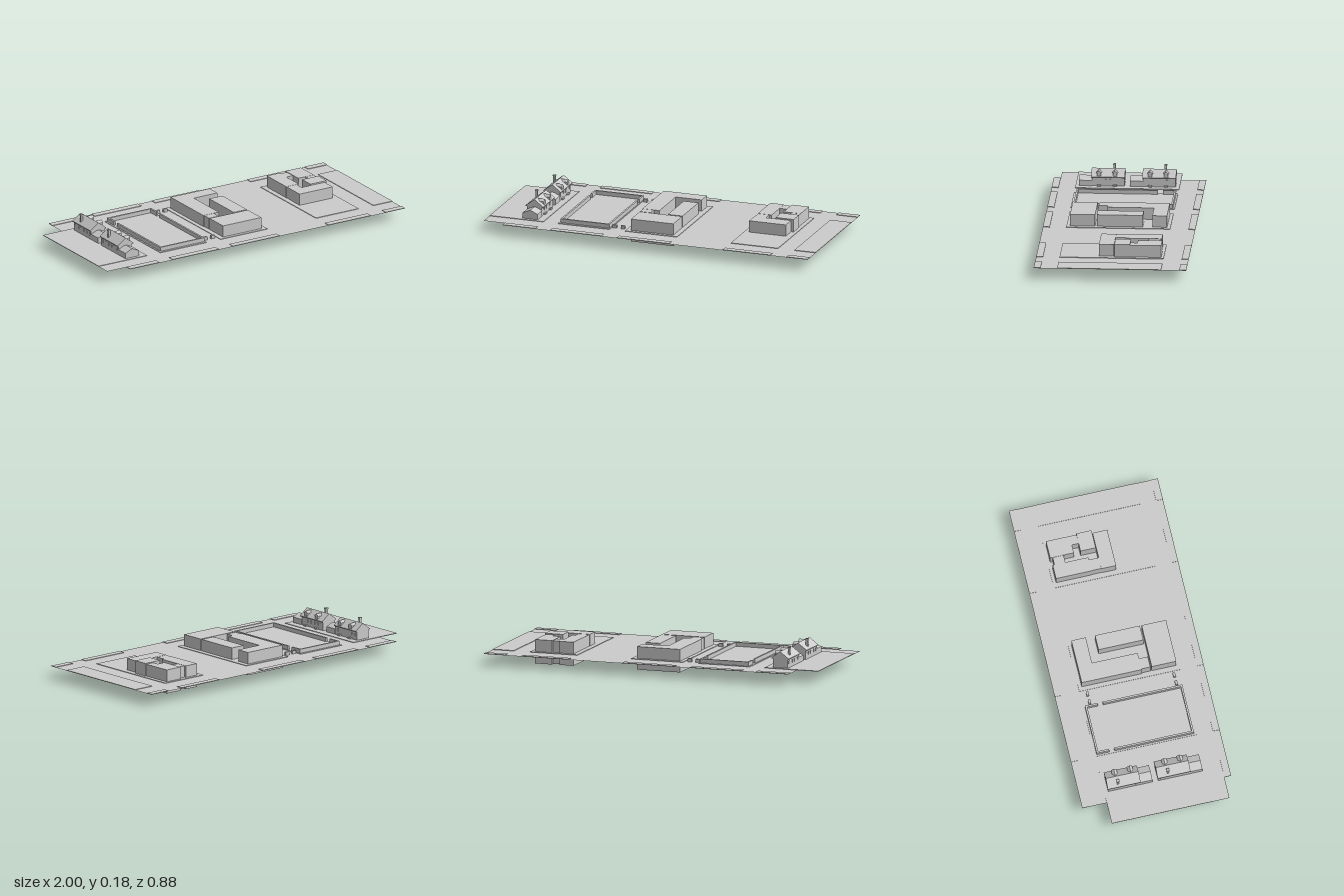
import * as THREE from 'three';

const GROUND = 0.066;
const PLOT = 0.0695;

export function createModel() {
  const model = new THREE.Group();
  const material = new THREE.MeshStandardMaterial({ color: 0xcccccc, flatShading: true });
  const sheet = new THREE.MeshStandardMaterial({ color: 0xcccccc, side: THREE.DoubleSide });

  const add = (parent, name, geometry, mat = material) => {
    const mesh = new THREE.Mesh(geometry, mat);
    mesh.name = name;
    parent.add(mesh);
    return mesh;
  };
  // Box given by its limits on each axis
  const block = (parent, name, x0, x1, y0, y1, z0, z1) =>
    add(parent, name, new THREE.BoxGeometry(x1 - x0, y1 - y0, z1 - z0))
      .position.set((x0 + x1) / 2, (y0 + y1) / 2, (z0 + z1) / 2);
  // Outline of [x, y] points extruded from z0 to z1
  const prism = (points, z0, z1) =>
    new THREE.ExtrudeGeometry(new THREE.Shape(points.map(([x, y]) => new THREE.Vector2(x, y))),
      { depth: z1 - z0, bevelEnabled: false }).translate(0, 0, z0);

  // Thin ground sheet with stepped end
  const outline = [[-0.87, -0.44], [1, -0.44], [1, 0.44], [-0.87, 0.44],
    [-0.87, 0.4], [-1, 0.4], [-1, -0.295], [-0.87, -0.295]];
  const ground = new THREE.Shape(outline.map(([x, z]) => new THREE.Vector2(x, -z)));
  add(model, 'ground', new THREE.ShapeGeometry(ground).rotateX(-Math.PI / 2), sheet).position.y = GROUND;

  // City blocks and the sidewalks across the streets
  for (const [x0, x1] of [[-1, -0.67], [-0.58, -0.265], [-0.17, 0.15], [0.48, 0.77], [0.87, 1]]) {
    block(model, 'plot', x0, x1, GROUND + 0.0005, PLOT, -0.295, 0.305);
    const start = Math.max(x0, -0.87);
    block(model, 'sidewalk', start, x1, GROUND + 0.0005, PLOT, -0.44, -0.4);
    block(model, 'sidewalk', start, x1, GROUND + 0.0005, PLOT, 0.4, 0.44);
  }

  // Low wall round the field, with openings near the back
  const field = new THREE.Group();
  field.name = 'fieldWall';
  model.add(field);
  const t = 0.011;
  for (const [x0, x1, z0, z1] of [
    [-0.57, -0.27, -0.285, -0.285 + t], [-0.57, -0.27, 0.29 - t, 0.29],
    [-0.57, -0.57 + t, -0.285, -0.21], [-0.27 - t, -0.27, -0.285, -0.21],
    [-0.57, -0.57 + t, -0.18, 0.29], [-0.27 - t, -0.27, -0.18, 0.29]]) {
    block(field, 'wallSection', x0, x1, GROUND, 0.093, z0, z1);
  }

  // Small kiosks beside the field
  for (const x of [-0.247, -0.197])
    for (const z of [-0.253, 0.26])
      block(model, 'kiosk', x - 0.012, x + 0.012, 0.06, 0.085, z - 0.007, z + 0.007);

  // Central complex: L-shaped wing, long hall and front hall
  const central = new THREE.Group();
  central.name = 'centralComplex';
  model.add(central);
  const wing = [[-0.145, -0.275], [0.12, -0.275], [0.12, -0.19], [-0.04, -0.19], [-0.04, 0.08], [-0.145, 0.08]];
  const wingShape = new THREE.Shape(wing.map(([x, z]) => new THREE.Vector2(x, -z)));
  add(central, 'wing', new THREE.ExtrudeGeometry(wingShape, { depth: 0.135, bevelEnabled: false })
    .rotateX(-Math.PI / 2)).position.y = 0.003;
  block(central, 'longHall', 0.03, 0.12, 0.003, 0.138, -0.135, 0.13);
  block(central, 'frontHall', -0.14, 0.12, 0.003, 0.138, 0.14, 0.285);
  block(central, 'link', -0.14, -0.075, 0.004, 0.137, 0.079, 0.132);

  // Courtyard complex: four halls joined in a ring
  const court = new THREE.Group();
  court.name = 'courtyardComplex';
  model.add(court);
  for (const [name, x0, x1, y1, z0, z1] of [
    ['hall', 0.51, 0.595, 0.138, -0.275, -0.065], ['hall', 0.64, 0.745, 0.14, -0.28, -0.14],
    ['hall', 0.64, 0.75, 0.145, -0.10, -0.01], ['hall', 0.51, 0.735, 0.138, -0.007, 0.08],
    ['link', 0.594, 0.641, 0.137, -0.265, -0.2], ['link', 0.512, 0.58, 0.137, -0.066, -0.006],
    ['link', 0.69, 0.745, 0.139, -0.141, -0.099]])
    block(court, name, x0, x1, name === 'link' ? 0.002 : 0, y1, z0, z1);

  // Two rows of gabled houses, each with dormers, chimney and annex
  for (const z of [-0.275, 0.02]) {
    const house = new THREE.Group();
    house.name = 'houseRow';
    house.position.z = z;
    model.add(house);
    block(house, 'walls', -0.805, -0.715, GROUND, 0.124, 0.003, 0.19);
    add(house, 'roof', prism([[-0.812, 0.12], [-0.705, 0.12], [-0.705, 0.125],
      [-0.758, 0.165], [-0.812, 0.125]], 0, 0.194));
    block(house, 'chimney', -0.798, -0.785, 0.12, 0.175, 0.058, 0.07);
    block(house, 'chimneyCap', -0.8, -0.783, 0.175, 0.182, 0.056, 0.072);
    for (const dz of [0.058, 0.15]) {
      const dormer = prism([[-0.012, 0.12], [0.012, 0.12], [0.012, 0.148], [0.016, 0.148],
        [0, 0.161], [-0.016, 0.148], [-0.012, 0.148]], 0, 0.045).rotateY(Math.PI / 2);
      add(house, 'dormer', dormer).position.set(-0.755, 0, dz);
      block(house, 'doorStep', -0.716, -0.703, GROUND, 0.078, dz - 0.012, dz + 0.012);
    }
    // Windows set slightly proud of both long walls
    for (let i = 0; i < 6; i++) {
      const wz = 0.022 + i * 0.03;
      block(house, 'window', -0.716, -0.713, 0.092, 0.11, wz - 0.006, wz + 0.006);
      block(house, 'window', -0.807, -0.804, 0.092, 0.11, wz - 0.006, wz + 0.006);
    }
    // Lower annex with a shallow pitched roof
    add(house, 'annex', prism([[-0.805, GROUND], [-0.712, GROUND], [-0.712, 0.102],
      [-0.758, 0.122], [-0.805, 0.102]], 0.19, 0.265));
  }
  return model;
}
